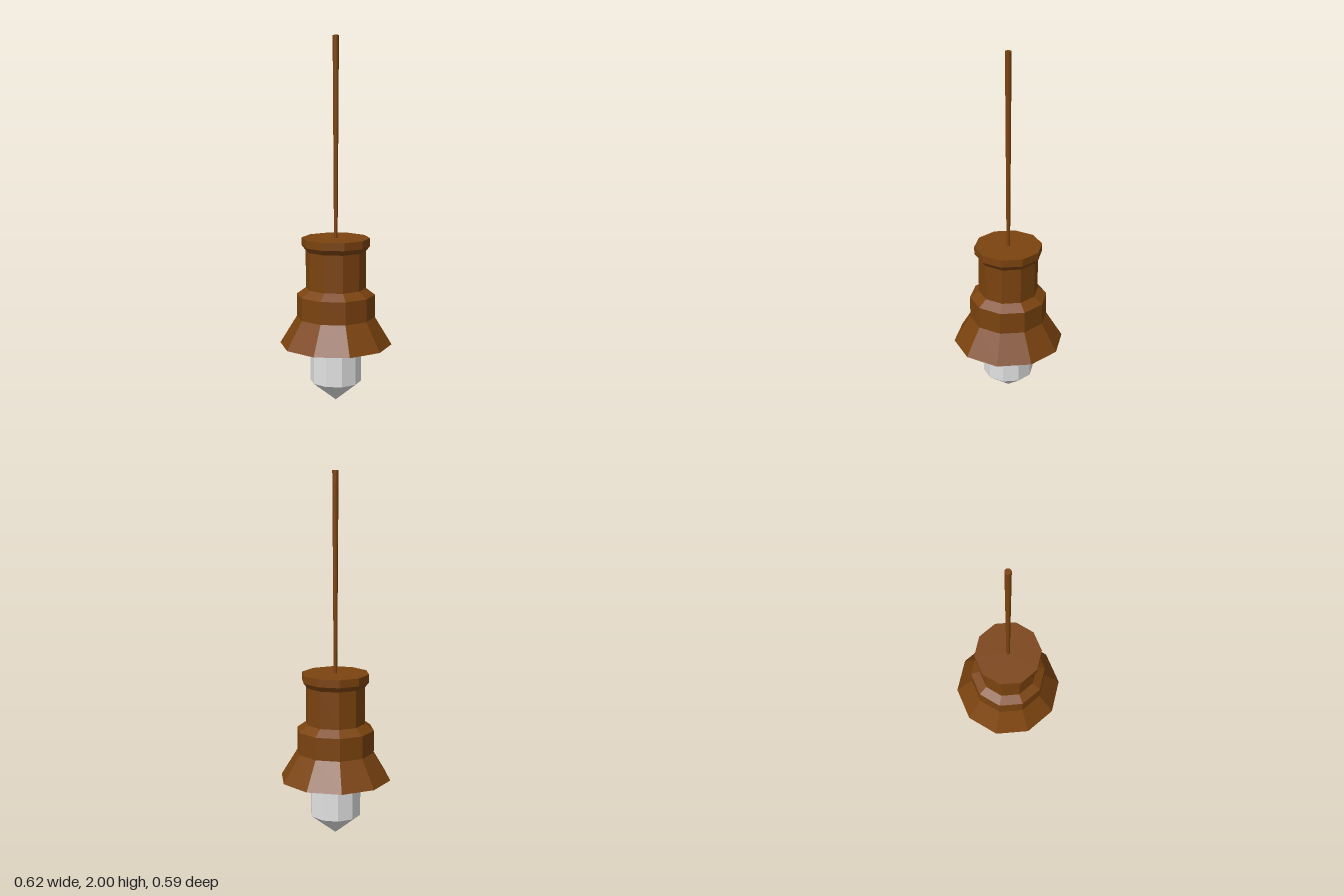
import * as THREE from 'three';

const SIDES = 10;
const START = Math.PI / 2; // puts a corner of each decagon on the x axis

// Ten-sided turned part from [radius, height] pairs, listed bottom to top
function turned(name, profile, material) {
  const points = profile.map(([r, y]) => new THREE.Vector2(r, y));
  const mesh = new THREE.Mesh(new THREE.LatheGeometry(points, SIDES, START).toNonIndexed(), material);
  mesh.geometry.computeVertexNormals();
  mesh.name = name;
  return mesh;
}

export function createModel() {
  const brown = new THREE.MeshStandardMaterial({ color: 0x7b430f, flatShading: true, side: THREE.DoubleSide });
  brown.name = 'brown';
  const glass = new THREE.MeshStandardMaterial({ color: 0xe2e2e2, flatShading: true });
  glass.name = 'paleGrey';

  const lamp = new THREE.Group();
  lamp.name = 'hangingLamp';

  // Open flared shade with its collar, neck and closed cap
  lamp.add(turned('shade', [
    [0.308, 0.322], [0.215, 0.475], [0.215, 0.6], [0.165, 0.636],
    [0.165, 0.842], [0.187, 0.87], [0.187, 0.913], [0, 0.913],
  ], brown));

  // Faceted bulb with a pointed tip, reaching up into the shade
  lamp.add(turned('bulb', [[0, 0], [0.141, 0.112], [0.141, 0.62], [0, 0.62]], glass));

  // Slightly tapered cord, thicker at the top
  lamp.add(turned('cord', [[0.01, 0.91], [0.017, 2], [0, 2]], brown));

  return lamp;
}
